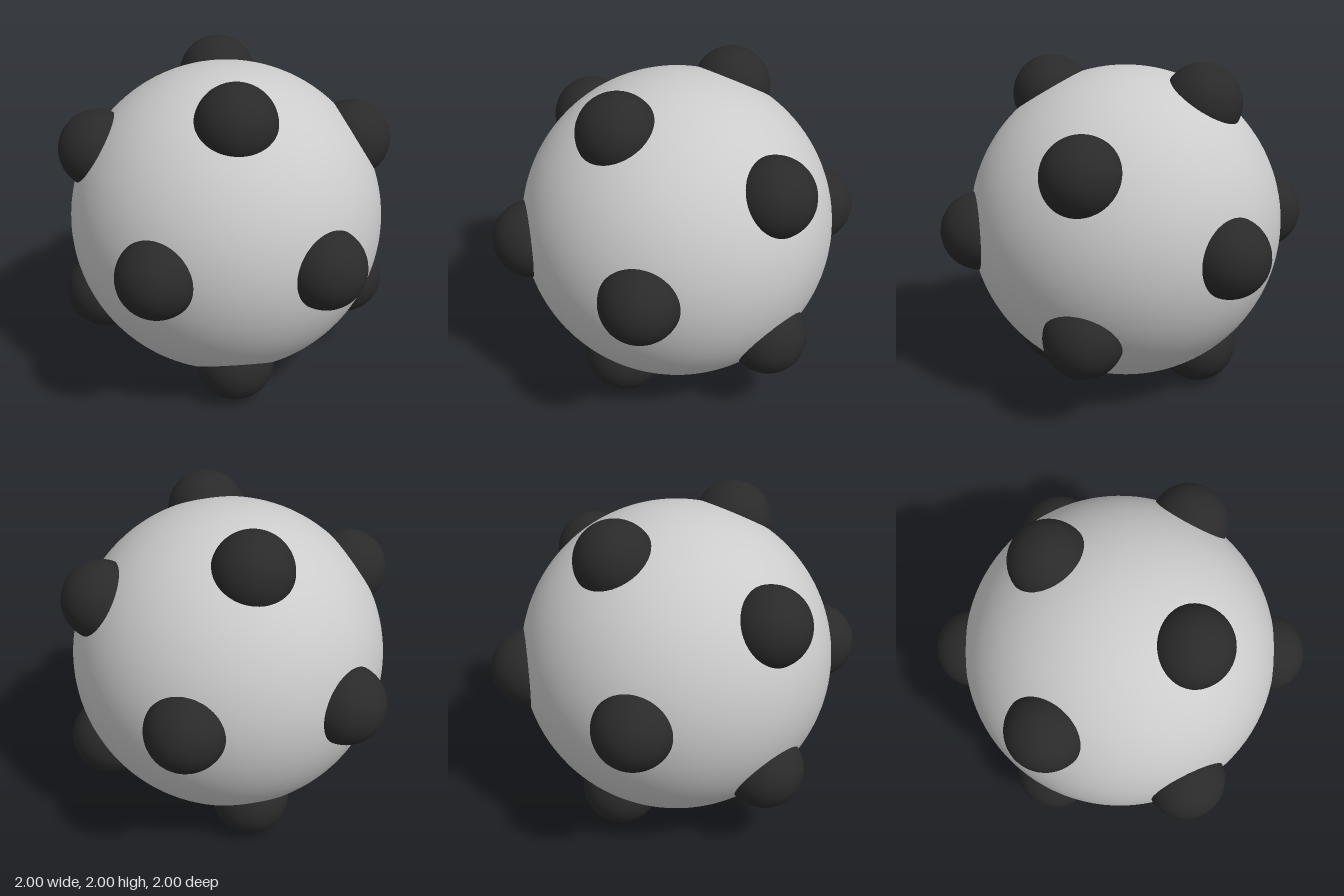
import * as THREE from 'three';

export function createModel() {
  const model = new THREE.Group();
  const grey = new THREE.MeshStandardMaterial({ color: 0xcccccc });
  const black = new THREE.MeshStandardMaterial({ color: 0x2a2a2a });

  // Large smooth ball
  const ball = new THREE.Mesh(new THREE.SphereGeometry(0.951, 96, 64), grey);
  ball.name = 'ball';
  ball.position.y = 1;
  model.add(ball);

  // Twelve half-sunk knobs at the corners of an icosahedron
  const long = 0.764, short = 0.472;
  const knobGeometry = new THREE.SphereGeometry(0.236, 48, 32);
  const knobs = new THREE.Group();
  knobs.name = 'knobs';
  knobs.position.y = 1;
  for (const a of [long, -long]) {
    for (const b of [short, -short]) {
      for (const [x, y, z] of [[a, b, 0], [0, a, b], [b, 0, a]]) {
        const knob = new THREE.Mesh(knobGeometry, black);
        knob.name = 'knob';
        knob.position.set(x, y, z);
        knobs.add(knob);
      }
    }
  }
  model.add(knobs);
  return model;
}
